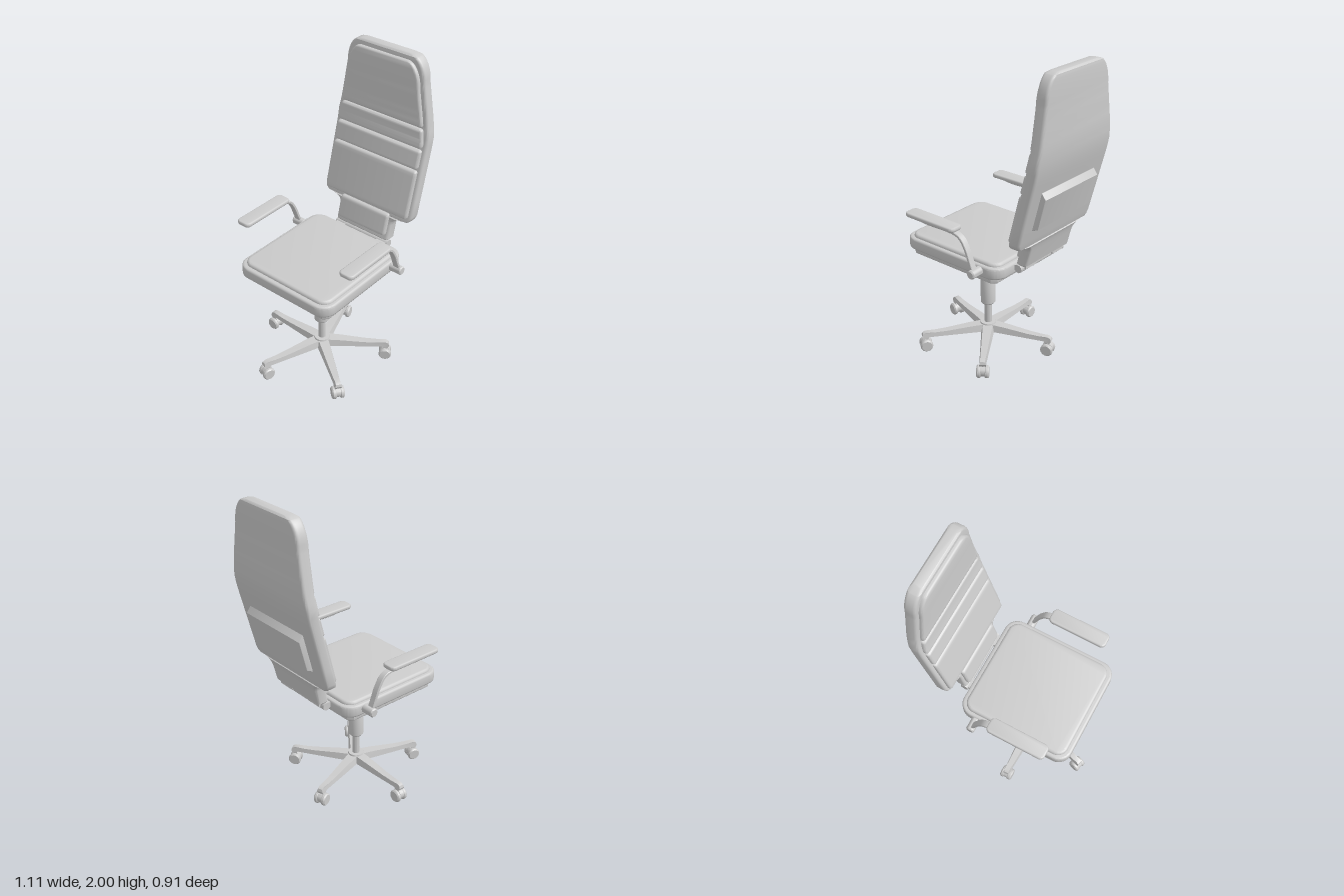
import * as THREE from 'three';
import { toCreasedNormals } from 'three/addons/utils/BufferGeometryUtils.js';

const grey = new THREE.MeshStandardMaterial({ color: 0xcccccc });
const CX = -0.115; // axis of column and base

function add(parent, name, geo, x = 0, y = 0, z = 0) {
  const m = new THREE.Mesh(toCreasedNormals(geo, 0.6), grey);
  m.name = name;
  m.position.set(x, y, z);
  parent.add(m);
  return m;
}

function group(parent, name) {
  const g = new THREE.Group();
  g.name = name;
  parent.add(g);
  return g;
}

const poly = (pts) => new THREE.Shape(pts.map(([x, y]) => new THREE.Vector2(x, y)));

function extrude(shape, depth, bevel = 0, segs = 3) {
  return new THREE.ExtrudeGeometry(shape, {
    depth: depth - 2 * bevel, bevelEnabled: bevel > 0, bevelSize: bevel, bevelThickness: bevel,
    bevelOffset: -bevel, bevelSegments: segs, curveSegments: 8,
  }).translate(0, 0, bevel);
}

// Horizontal slab with rounded corners and edges
function slab(x0, x1, w, y0, y1, r, bevel) {
  const s = new THREE.Shape();
  s.moveTo(x0 + r, -w);
  s.lineTo(x1 - r, -w); s.absarc(x1 - r, -w + r, r, -Math.PI / 2, 0);
  s.lineTo(x1, w - r); s.absarc(x1 - r, w - r, r, 0, Math.PI / 2);
  s.lineTo(x0 + r, w); s.absarc(x0 + r, w - r, r, Math.PI / 2, Math.PI);
  s.lineTo(x0, -w + r); s.absarc(x0 + r, -w + r, r, Math.PI, Math.PI * 1.5);
  return extrude(s, y1 - y0, bevel).rotateX(-Math.PI / 2).translate(0, y0, 0);
}

// Rear surface of the backrest: leaning below, bending upright above
function rearX(y) {
  const t = THREE.MathUtils.clamp((y - 1.4) / 0.24, 0, 1);
  return 0.357 + 0.262 * (Math.min(y, 1.4) - 0.79) + 0.262 * 0.24 * (t - t * t / 2);
}

// Rounded-rectangle sections stacked along the bent back; rows are [y, halfWidth, frontInset, rearInset]
function loft(rows, front, rear, r) {
  const n = 4, ring = 4 * (n + 1), pos = [], idx = [];
  for (const [y, w, fi = 0, ri = 0] of rows) {
    const x0 = rearX(y) + front + fi, x1 = rearX(y) + rear - ri;
    const c = Math.min(r, (x1 - x0) / 2 - 0.001);
    for (let q = 0; q < 4; q++) for (let k = 0; k <= n; k++) {
      const a = (q + k / n) * Math.PI / 2;
      const cx = q === 0 || q === 3 ? x1 - c : x0 + c;
      const cz = q < 2 ? w - c : c - w;
      pos.push(cx + c * Math.cos(a), y, -(cz + c * Math.sin(a)));
    }
  }
  for (let j = 0; j < rows.length - 1; j++) for (let i = 0; i < ring; i++) {
    const a = j * ring + i, b = j * ring + (i + 1) % ring;
    idx.push(a, b, b + ring, a, b + ring, a + ring);
  }
  const top = (rows.length - 1) * ring;
  for (let i = 1; i < ring - 1; i++) idx.push(0, i + 1, i, top, top + i, top + i + 1);
  const g = new THREE.BufferGeometry();
  g.setAttribute('position', new THREE.Float32BufferAttribute(pos, 3));
  g.setIndex(idx);
  return g;
}

// Half-width of the upper back at height y
function halfWidth(y) {
  if (y < 1.5) return 0.348;
  if (y < 1.84) return 0.348 - 0.058 * (y - 1.5) / 0.34;
  const t = (y - 1.84) / 0.16;
  return 0.19 + 0.1 * Math.sqrt(Math.max(0, 1 - t * t));
}

// Cushion on the front of the back, soft at all edges
function cushion(y0, y1, width) {
  const rows = [], e = 0.014;
  for (let k = 0; k <= 3; k++) {
    const a = k / 3 * Math.PI / 2;
    rows.push([y0 + e * (1 - Math.cos(a)), 0, e * (1 - Math.sin(a))]);
  }
  for (let k = 1; k < 14; k++) rows.push([y0 + e + (y1 - y0 - 2 * e) * k / 14, 0, 0]);
  for (let k = 0; k <= 3; k++) {
    const a = k / 3 * Math.PI / 2;
    rows.push([y1 - e + e * Math.sin(a), 0, e * (1 - Math.cos(a))]);
  }
  rows.forEach((r) => { r[1] = width(r[0]) - r[2]; });
  return loft(rows, -0.102, -0.05, 0.016);
}

function buildBack(root) {
  const back = group(root, 'backrest');
  const rows = [[0.79, 0.2, 0.012, 0.012], [0.802, 0.21], [0.9, 0.21], [0.925, 0.215], [0.94, 0.228],
    [0.95, 0.25], [0.955, 0.3, 0.008, 0.008], [0.962, 0.325], [0.975, 0.34], [1.0, 0.348]];
  for (let y = 1.1; y < 1.83; y += 0.04) rows.push([y, halfWidth(y)]);
  for (let k = 0; k <= 9; k++) {
    const y = 1.84 + 0.15 * Math.sin(k / 9 * Math.PI / 2);
    rows.push([y, halfWidth(y)]);
  }
  rows.push([2.0, 0.19, 0.012, 0.012]);
  add(back, 'backShell', loft(rows, -0.078, 0, 0.02));

  const inset = (y) => halfWidth(y + 0.03) - 0.026;
  [[0.99, 1.3], [1.31, 1.43], [1.44, 1.56], [1.57, 1.965]].forEach(([a, b], i) =>
    add(back, 'backCushion' + (i + 1), cushion(a, b, inset)));
  add(back, 'lowerBackCushion', cushion(0.83, 0.975, () => 0.19));

  // Bevelled lumbar block behind
  add(back, 'lumbarBlock', loft([[1.065, 0.25, 0, 0.05], [1.09, 0.25], [1.285, 0.25], [1.335, 0.25, 0, 0.05]],
    -0.02, 0.037, 0.004));

  // Hinge between back and seat
  add(back, 'hingeBar', new THREE.CylinderGeometry(0.026, 0.026, 0.42, 20).rotateX(Math.PI / 2), 0.3, 0.768, 0);
  for (const s of [-1, 1]) {
    add(back, 'hingeLug', new THREE.BoxGeometry(0.12, 0.035, 0.07), 0.245, 0.765, s * 0.165);
    add(back, 'hingeTab', new THREE.BoxGeometry(0.035, 0.06, 0.1), 0.318, 0.795, s * 0.13);
  }
}

function buildSeat(root) {
  const seat = group(root, 'seat');
  add(seat, 'seatBody', slab(-0.5, 0.265, 0.36, 0.72, 0.795, 0.09, 0.014));
  add(seat, 'seatCushion', slab(-0.47, 0.238, 0.335, 0.77, 0.815, 0.07, 0.018));
  // Underplate, notched at the rear for the mechanism
  const plate = poly([[-0.46, -0.3], [-0.43, -0.33], [0.19, -0.33], [0.22, -0.3], [0.22, -0.11], [-0.22, -0.11],
    [-0.22, 0.11], [0.22, 0.11], [0.22, 0.3], [0.19, 0.33], [-0.43, 0.33], [-0.46, 0.3]]);
  add(seat, 'underplate', extrude(plate, 0.05, 0.008).rotateX(-Math.PI / 2), 0, 0.68, 0);

  // Tilt mechanism housing, narrower at the bottom
  const side = poly([[-0.3, 0.73], [-0.3, 0.68], [-0.265, 0.645], [-0.225, 0.617], [-0.19, 0.604], [-0.15, 0.6],
    [0.055, 0.6], [0.09, 0.68], [0.09, 0.73]]);
  const g = extrude(side, 2).translate(0, 0, -1);
  const p = g.attributes.position;
  for (let i = 0; i < p.count; i++) {
    p.setZ(i, p.getZ(i) * (0.055 + 0.035 * Math.min(1, (p.getY(i) - 0.6) / 0.085)));
  }
  add(seat, 'tiltMechanism', g);
}

function buildArmrest(root, s) {
  const arm = group(root, s > 0 ? 'armrestNear' : 'armrestFar');
  add(arm, 'armPad', slab(-0.388, 0.003, 0.05, 0.994, 1.022, 0.03, 0.01), 0, 0, s * 0.405);
  // Bent flat strip carrying the pad
  const curve = new THREE.CatmullRomCurve3([[-0.3, 0.99], [-0.24, 0.983], [-0.02, 0.983], [0.035, 0.962], [0.075, 0.905],
    [0.105, 0.83], [0.128, 0.77]].map(([x, y]) => new THREE.Vector3(x, y, 0)));
  const a = [], b = [];
  for (let i = 0; i <= 30; i++) {
    const c = curve.getPoint(i / 30), t = curve.getTangent(i / 30);
    a.push([c.x - t.y * 0.009, c.y + t.x * 0.009]);
    b.unshift([c.x + t.y * 0.009, c.y - t.x * 0.009]);
  }
  add(arm, 'armStrip', extrude(poly([...a, ...b]), 0.042, 0.003, 1), 0, 0, s * 0.405 - 0.021);
  // Pivot knob
  const knob = [[0, -0.045], [0.022, -0.045], [0.028, -0.038], [0.028, 0.038], [0.022, 0.045], [0, 0.045]];
  add(arm, 'armPivot', new THREE.LatheGeometry(knob.map(([x, y]) => new THREE.Vector2(x, y)), 24)
    .rotateX(Math.PI / 2), 0.13, 0.763, s * 0.398);
}

function buildBase(root) {
  const base = group(root, 'base');
  base.position.x = CX;
  const column = [[0, 0.11], [0.024, 0.11], [0.024, 0.295], [0.04, 0.295], [0.048, 0.305], [0.048, 0.555],
    [0.042, 0.565], [0.026, 0.57], [0.026, 0.61], [0, 0.61]];
  add(base, 'gasColumn', new THREE.LatheGeometry(column.map(([x, y]) => new THREE.Vector2(x, y)), 28));
  add(base, 'baseHub', new THREE.CylinderGeometry(0.05, 0.065, 0.055, 30), 0, 0.1275, 0);

  const profile = poly([[0, 0.1], [0.4, 0.1], [0.405, 0.088], [0.436, 0.088], [0.444, 0.105], [0.438, 0.122],
    [0.42, 0.131], [0.36, 0.128], [0.28, 0.13], [0.12, 0.143], [0, 0.148]]);
  for (let k = 0; k < 5; k++) {
    const leg = group(base, 'leg' + (k + 1));
    leg.rotation.y = Math.PI / 2 + k * Math.PI * 0.4;
    // Tapering spoke, narrower along its top
    const g = extrude(profile, 2).translate(0, 0, -1);
    const p = g.attributes.position;
    for (let i = 0; i < p.count; i++) {
      const w = 0.045 - 0.055 * p.getX(i);
      p.setZ(i, p.getZ(i) * w * (p.getY(i) > 0.11 ? 0.75 : 1));
    }
    add(leg, 'spoke', g);
    // Twin-wheel caster
    const caster = group(leg, 'caster');
    caster.position.set(0.418, 0.041, 0);
    add(caster, 'casterStem', new THREE.CylinderGeometry(0.011, 0.011, 0.06, 12), 0, 0.04, 0);
    add(caster, 'casterFork', new THREE.CylinderGeometry(0.036, 0.036, 0.03, 20).rotateX(Math.PI / 2), 0, 0.006, 0);
    const wheel = [[0, -0.014], [0.036, -0.014], [0.041, -0.008], [0.041, 0.006], [0.034, 0.014], [0, 0.014]];
    for (const s of [-1, 1]) {
      add(caster, 'casterWheel', new THREE.LatheGeometry(wheel.map(([x, y]) => new THREE.Vector2(x, y)), 24)
        .rotateX(s * Math.PI / 2), 0, 0, s * 0.026);
    }
  }
}

export function createModel() {
  const root = new THREE.Group();
  root.name = 'officeChair';
  buildBase(root);
  buildSeat(root);
  buildBack(root);
  for (const s of [-1, 1]) buildArmrest(root, s);
  return root;
}
